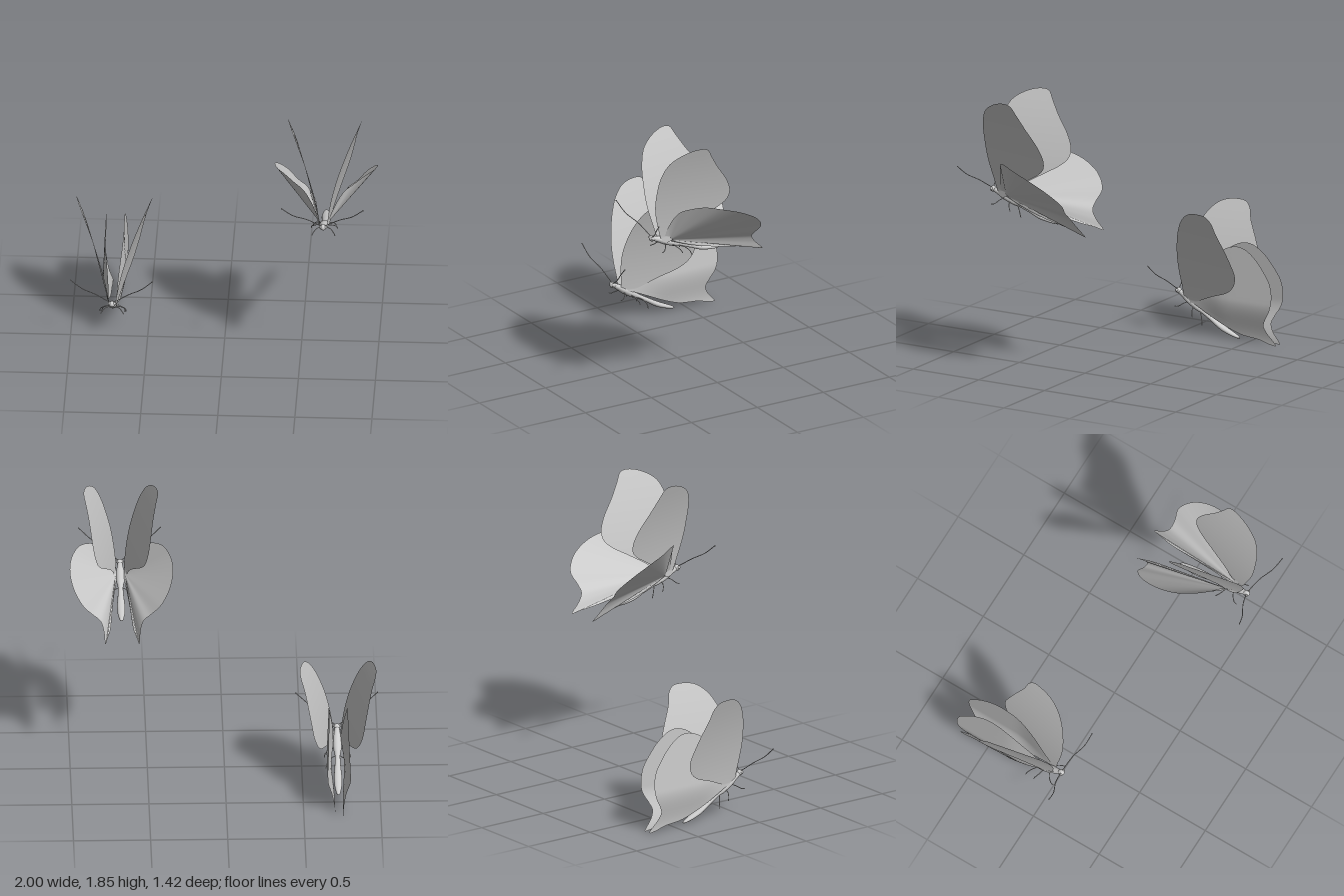
import * as THREE from 'three';

const grey = new THREE.MeshStandardMaterial({ color: 0xcccccc });
const thin = new THREE.MeshStandardMaterial({ color: 0xcccccc, side: THREE.DoubleSide });
const V = (x, y, z) => new THREE.Vector3(x, y, z);

function part(name, geometry, material = grey) {
  const mesh = new THREE.Mesh(geometry, material);
  mesh.name = name;
  return mesh;
}

// Rows of equal length joined into a smooth surface
function surface(rows) {
  const n = rows[0].length, index = [];
  for (let i = 0; i < rows.length - 1; i++)
    for (let j = 0; j < n; j++) {
      const a = i * n + j, b = i * n + (j + 1) % n;
      index.push(a, b, a + n, b, b + n, a + n);
    }
  const g = new THREE.BufferGeometry();
  g.setAttribute('position', new THREE.Float32BufferAttribute(rows.flat().flatMap(p => [p.x, p.y, p.z]), 3));
  g.setIndex(index);
  g.computeVertexNormals();
  return g;
}

// Thin wing fanned out from its root; outline points are [z, y, x],
// or [z, y] with x given by the bend rule
function wing(root, outline, bend) {
  const at = ([z, y, x = 0]) => V(x, y, z);
  const edge = new THREE.CatmullRomCurve3(outline.map(at), true).getPoints(112).slice(0, -1);
  const rows = [];
  for (let i = 0; i <= 12; i++)
    rows.push(edge.map(p => {
      const q = at(root).lerp(p, Math.max(i / 12, 0.002));
      if (bend) q.x = bend(q.y, q.z);
      return q;
    }));
  return surface(rows);
}

// Adds a part on the left side and its mirror image on the right
function addPair(group, name, geometry, material) {
  for (const [side, s] of [['left', 1], ['right', -1]]) {
    const mesh = part(side + name, geometry, material);
    mesh.scale.x = s;
    group.add(mesh);
  }
}

const tube = (points, r) =>
  new THREE.TubeGeometry(new THREE.CatmullRomCurve3(points.map(p => V(...p))), 20, r, 6);

// Body, measured from the head
function makeBody() {
  const body = new THREE.Group();
  body.name = 'body';
  // z, y, half width, half height
  const sections = [
    [0.0, 0.0, 0.015, 0.015], [-0.04, -0.014, 0.02, 0.02], [-0.09, -0.035, 0.028, 0.026],
    [-0.15, -0.058, 0.027, 0.025], [-0.21, -0.08, 0.017, 0.016], [-0.28, -0.105, 0.02, 0.016],
    [-0.36, -0.134, 0.026, 0.018], [-0.43, -0.15, 0.023, 0.015], [-0.49, -0.16, 0.012, 0.009],
    [-0.505, -0.162, 0.001, 0.001],
  ];
  const spine = new THREE.CatmullRomCurve3(sections.map(s => V(0, s[1], s[0])));
  const girth = new THREE.CatmullRomCurve3(sections.map(s => V(s[2], s[3], 0)));
  const rows = [];
  for (let i = 0; i <= 45; i++) {
    const c = spine.getPoint(i / 45), r = girth.getPoint(i / 45), row = [];
    for (let j = 0; j < 16; j++) {
      const a = -j * Math.PI / 8;
      row.push(V(Math.cos(a) * r.x, c.y + Math.sin(a) * r.y, c.z));
    }
    rows.push(row);
  }
  body.add(part('thoraxAndAbdomen', surface(rows), thin));

  const head = part('head', new THREE.SphereGeometry(0.021, 16, 12));
  head.scale.set(1, 0.95, 1.05);
  body.add(head);
  addPair(body, 'Eye', new THREE.SphereGeometry(0.011, 12, 8).translate(0.015, 0.004, 0.006));

  // Antennae with a small club at the tip
  addPair(body, 'Antenna', tube([[0.008, 0.012, 0.005], [0.045, 0.035, 0.015], [0.11, 0.08, 0.04],
    [0.19, 0.13, 0.085], [0.265, 0.195, 0.11]], 0.0028));
  addPair(body, 'AntennaClub', new THREE.SphereGeometry(0.0045, 8, 6).translate(0.265, 0.195, 0.11));

  // Three pairs of legs
  const legs = {
    FrontLeg: [[0.01, -0.045, -0.09], [0.045, -0.055, -0.075], [0.07, -0.078, -0.05], [0.075, -0.082, -0.03]],
    MiddleLeg: [[0.012, -0.065, -0.14], [0.05, -0.07, -0.15], [0.08, -0.09, -0.17], [0.085, -0.11, -0.18]],
    HindLeg: [[0.01, -0.085, -0.19], [0.045, -0.09, -0.22], [0.07, -0.115, -0.245], [0.075, -0.14, -0.255]],
  };
  for (const name in legs) addPair(body, name, tube(legs[name], 0.003));
  return body;
}

// Forewings curve outward as they rise and toward the back
const foreBend = (y0, z0) => (y, z) => {
  const h = Math.max(y - y0, 0);
  return 0.015 + 0.15 * h + 0.18 * h * h - 0.2 * (z - z0);
};

function butterfly(name, { x, head, pitch, fore, hind }) {
  const group = new THREE.Group();
  group.name = name;
  group.position.x = x;
  const body = makeBody();
  body.position.set(0, head[1], head[0]);
  body.rotation.x = -pitch;
  group.add(body);
  addPair(group, 'Forewing', wing(...fore), thin);
  addPair(group, 'Hindwing', wing(...hind), thin);
  return group;
}

export function createModel() {
  const model = new THREE.Group();
  model.name = 'butterflies';

  // Upper butterfly, hindwings spread
  model.add(butterfly('upperButterfly', {
    x: 0.665, head: [0.595, 1.195], pitch: 0,
    fore: [[0.51, 1.2], [
      [0.53, 1.17], [0.575, 1.29], [0.605, 1.42], [0.61, 1.54], [0.6, 1.66], [0.56, 1.76],
      [0.48, 1.82], [0.38, 1.85], [0.32, 1.84], [0.28, 1.78], [0.23, 1.7], [0.14, 1.57],
      [0.11, 1.49], [0.12, 1.43], [0.17, 1.38], [0.27, 1.32], [0.4, 1.24], [0.49, 1.16],
    ], foreBend(1.2, 0.6)],
    hind: [[0.48, 1.17, 0.03], [
      [0.51, 1.18, 0.025], [0.5, 1.3, 0.07], [0.465, 1.39, 0.13], [0.42, 1.43, 0.2],
      [0.35, 1.45, 0.265], [0.25, 1.432, 0.315], [0.12, 1.39, 0.335], [-0.01, 1.315, 0.31],
      [-0.08, 1.23, 0.25], [-0.07, 1.165, 0.19], [-0.075, 1.12, 0.14], [-0.11, 1.07, 0.12],
      [-0.175, 1.003, 0.11], [-0.12, 1.017, 0.095], [-0.03, 1.033, 0.075], [0.15, 1.065, 0.06],
      [0.3, 1.1, 0.045], [0.45, 1.15, 0.025],
    ]],
  }));

  // Lower butterfly, hindwings nearly closed
  model.add(butterfly('lowerButterfly', {
    x: -0.73, head: [0.045, 0.265], pitch: 0.19,
    fore: [[-0.03, 0.24], [
      [-0.01, 0.22], [0, 0.3], [0.013, 0.4], [0.015, 0.5], [0, 0.6], [-0.03, 0.7],
      [-0.08, 0.79], [-0.15, 0.85], [-0.24, 0.87], [-0.315, 0.86], [-0.35, 0.82], [-0.37, 0.75],
      [-0.42, 0.64], [-0.46, 0.54], [-0.48, 0.47], [-0.46, 0.4], [-0.4, 0.34], [-0.25, 0.28],
      [-0.11, 0.22], [-0.04, 0.2],
    ], foreBend(0.22, 0)],
    hind: [[-0.07, 0.22], [
      [-0.04, 0.22], [-0.1, 0.34], [-0.2, 0.48], [-0.32, 0.6], [-0.42, 0.64], [-0.49, 0.632],
      [-0.57, 0.58], [-0.64, 0.5], [-0.69, 0.42], [-0.705, 0.33], [-0.69, 0.25], [-0.65, 0.18],
      [-0.63, 0.13], [-0.65, 0.08], [-0.71, 0.005], [-0.66, 0.008], [-0.59, 0.028],
      [-0.45, 0.045], [-0.35, 0.08], [-0.2, 0.15], [-0.1, 0.195],
    ], (y, z) => {
      const back = THREE.MathUtils.smoothstep(-z, 0.03, 0.35);
      return 0.025 + back * 0.05 * THREE.MathUtils.smoothstep(y, 0, 0.28) - 0.015 * back * Math.max(y - 0.28, 0) / 0.36;
    }],
  }));
  return model;
}
